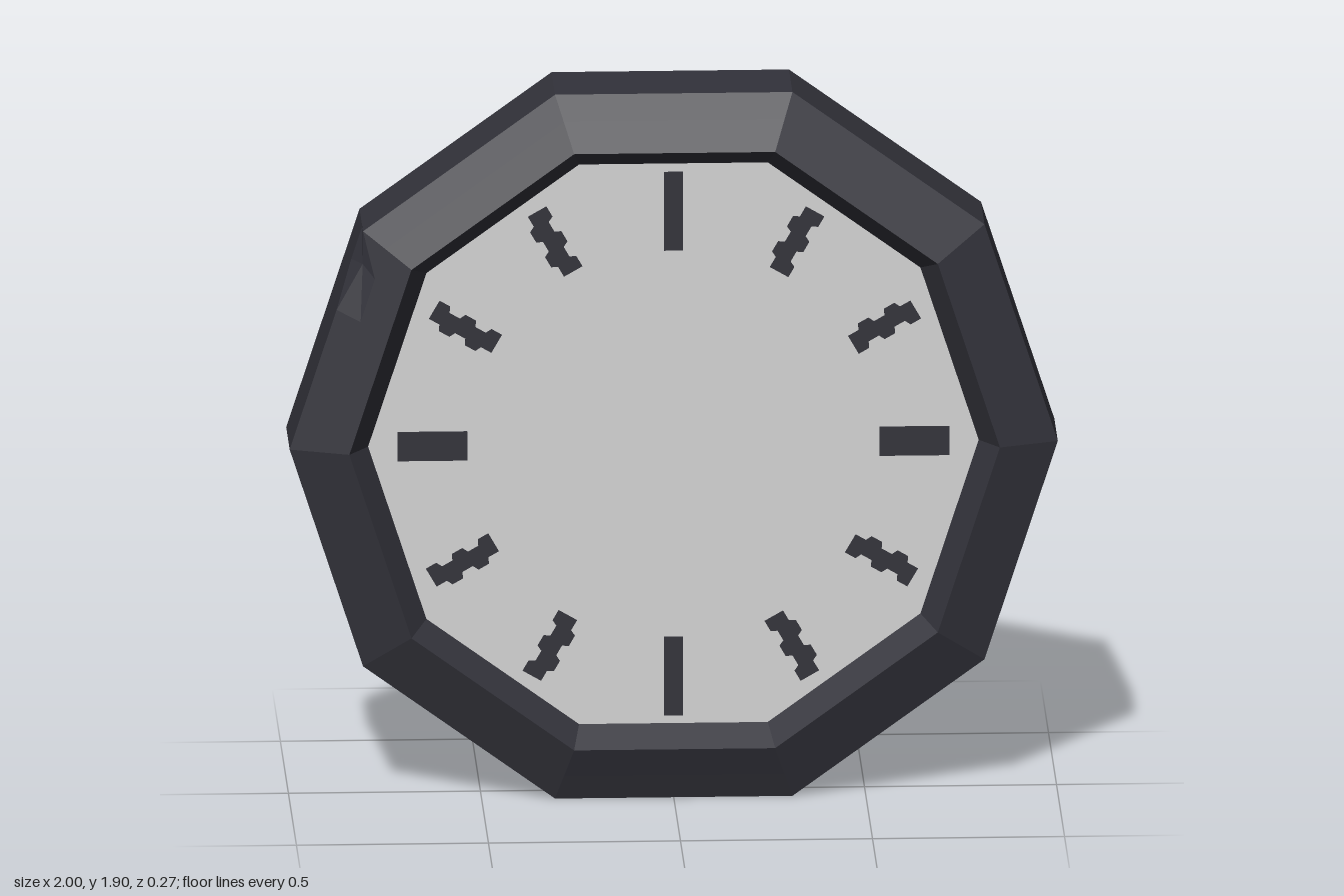
import * as THREE from 'three';

const SIDES = 10;
const CENTER_Y = 0.951;
const BACK_Z = -0.137;
const FACE_Z = 0.06;

// Unit decagon, with two extra points on the upper-left edge for a small dent
const DENT = 5;
function outline() {
  const pts = [];
  for (let i = 0; i < SIDES; i++) {
    const a = (i / SIDES) * Math.PI * 2;
    pts.push(new THREE.Vector2(Math.cos(a), Math.sin(a)));
  }
  const [a, b] = [pts[4], pts[5]];
  pts.splice(DENT, 0, a.clone().lerp(b, 0.15), a.clone().lerp(b, 0.36));
  return pts;
}

// Frame: rings of [radius, z] running from the back edge over the bevel to the face
function frameGeometry() {
  const rings = [[1, BACK_Z], [1, 0.03], [1, 0.08], [0.93, 0.106], [0.847, 0.137], [0.795, FACE_Z]];
  const pts = outline();
  const n = pts.length;
  const pos = [];
  const index = [];
  rings.forEach(([r, z], k) => {
    pts.forEach((p, i) => {
      const dented = k === 2 && i === DENT;
      pos.push(dented ? -0.81 : p.x * r, p.y * r, z);
      if (k === rings.length - 1) return;
      const a = k * n + i;
      const b = k * n + ((i + 1) % n);
      index.push(a, b, b + n, a, b + n, a + n);
    });
  });
  const g = new THREE.BufferGeometry();
  g.setAttribute('position', new THREE.Float32BufferAttribute(pos, 3));
  g.setIndex(index);
  const flat = g.toNonIndexed();
  flat.computeVertexNormals();
  return flat;
}

// Hour mark along +x: a thin plate whose sides step back and forth by 'wobble'
function markGeometry(length, width, wobble) {
  const steps = 5;
  const top = [];
  const bottom = [];
  for (let i = 0; i < steps; i++) {
    const shift = (i % 2 ? 1 : -1) * wobble;
    for (const e of [0, 1]) {
      const x = ((i + e) / steps - 0.5) * length + (e ? -0.004 : 0.004);
      top.push(new THREE.Vector2(x, width / 2 + shift));
      bottom.push(new THREE.Vector2(x, -width / 2 + shift));
    }
  }
  const shape = new THREE.Shape([...bottom, ...top.reverse()]);
  return new THREE.ExtrudeGeometry(shape, { depth: 0.005, bevelEnabled: false });
}

export function createModel() {
  const dark = new THREE.MeshStandardMaterial({ color: 0x32323a });
  dark.name = 'charcoal';
  const pale = new THREE.MeshStandardMaterial({ color: 0xd4d4d4 });
  pale.name = 'pale grey';

  const clock = new THREE.Group();
  clock.name = 'wallClock';
  clock.position.y = CENTER_Y;
  const add = (name, geometry, material) => {
    const mesh = new THREE.Mesh(geometry, material);
    mesh.name = name;
    clock.add(mesh);
    return mesh;
  };

  add('frame', frameGeometry(), dark);

  // Flat back panel
  const back = add('backPanel', new THREE.CircleGeometry(1, SIDES), dark);
  back.rotation.y = Math.PI;
  back.position.z = BACK_Z;

  // Recessed dial
  add('dial', new THREE.CircleGeometry(0.795, SIDES), pale).position.z = FACE_Z;

  // Twelve hour marks: slim at top and bottom, broad at the sides, jagged between
  const slim = markGeometry(0.22, 0.05, 0);
  const broad = markGeometry(0.19, 0.078, 0);
  const jagged = markGeometry(0.195, 0.055, 0.008);
  for (let h = 0; h < 12; h++) {
    const a = (h / 12) * Math.PI * 2;
    const r = h % 3 ? 0.63 : 0.628;
    const geometry = h % 3 ? jagged : h % 6 ? slim : broad;
    const mark = add('hourMark', geometry, dark);
    mark.position.set(Math.cos(a) * r, Math.sin(a) * r, FACE_Z + 0.001);
    mark.rotation.z = a;
  }

  const model = new THREE.Group();
  model.name = 'clock';
  model.add(clock);
  return model;
}
